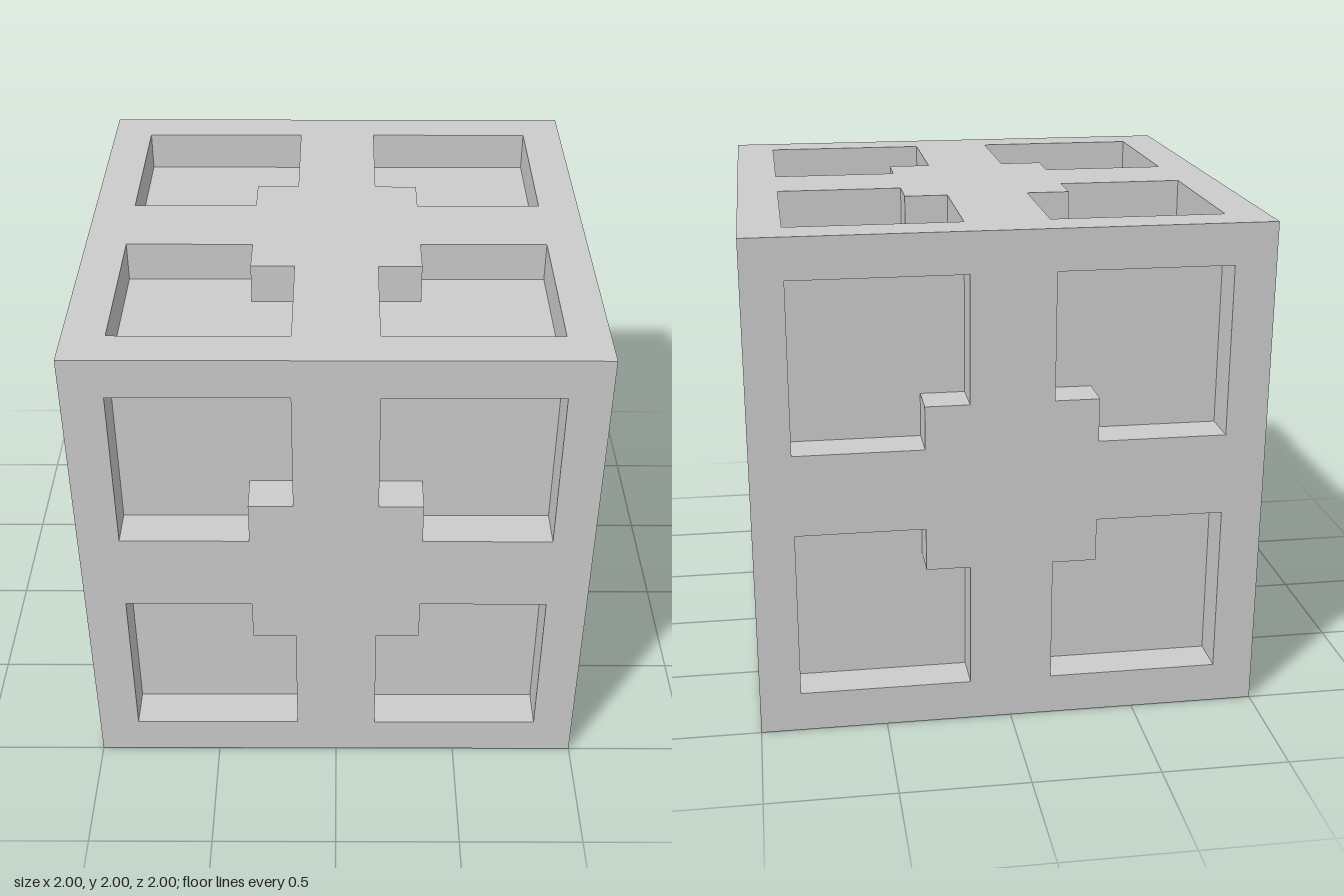
import * as THREE from 'three';
import { mergeGeometries } from 'three/addons/utils/BufferGeometryUtils.js';

const HALF = 1;       // half the cube's edge
const DEPTH = 0.16;   // pocket depth
const NEAR = 0.163, NOTCH = 0.335, FAR = 0.838;

// Square pocket outline with the corner nearest the face centre notched out,
// mirrored into one quadrant and kept anticlockwise
function pocketOutline(sx, sy) {
  const points = [
    [NOTCH, NEAR], [FAR, NEAR], [FAR, FAR], [NEAR, FAR], [NEAR, NOTCH], [NOTCH, NOTCH],
  ].map(([x, y]) => new THREE.Vector2(x * sx, y * sy));
  return sx * sy < 0 ? points.reverse() : points;
}

// Inward-facing walls of a pocket
function pocketWalls(outline) {
  const positions = [];
  outline.forEach((a, i) => {
    const b = outline[(i + 1) % outline.length];
    const top = HALF, low = HALF - DEPTH;
    positions.push(
      a.x, a.y, top, b.x, b.y, top, b.x, b.y, low,
      a.x, a.y, top, b.x, b.y, low, a.x, a.y, low);
  });
  const geometry = new THREE.BufferGeometry();
  geometry.setAttribute('position', new THREE.Float32BufferAttribute(positions, 3));
  geometry.computeVertexNormals();
  return geometry;
}

function flatSheet(shape, z) {
  const geometry = new THREE.ShapeGeometry(shape).toNonIndexed().translate(0, 0, z);
  geometry.deleteAttribute('uv');
  return geometry;
}

// One cube face, looking along +z, with four recessed pockets
function pocketedFace() {
  const sheet = new THREE.Shape([
    new THREE.Vector2(-HALF, -HALF), new THREE.Vector2(HALF, -HALF),
    new THREE.Vector2(HALF, HALF), new THREE.Vector2(-HALF, HALF),
  ]);
  const parts = [];
  for (const sx of [-1, 1]) {
    for (const sy of [-1, 1]) {
      const outline = pocketOutline(sx, sy);
      sheet.holes.push(new THREE.Path(outline));
      parts.push(pocketWalls(outline), flatSheet(new THREE.Shape(outline), HALF - DEPTH));
    }
  }
  parts.push(flatSheet(sheet, HALF));
  return mergeGeometries(parts);
}

export function createModel() {
  const model = new THREE.Group();
  model.name = 'notchedCube';
  const material = new THREE.MeshStandardMaterial({ color: 0xcccccc, flatShading: true });

  const addFace = (name, geometry, rx, ry) => {
    const mesh = new THREE.Mesh(geometry, material);
    mesh.name = name;
    mesh.rotation.set(rx, ry, 0);
    mesh.position.y = HALF;
    model.add(mesh);
  };

  // Four sides and the top share the pocketed face
  const face = pocketedFace();
  ['frontFace', 'leftFace', 'backFace', 'rightFace'].forEach((name, i) =>
    addFace(name, face, 0, i * Math.PI / 2));
  addFace('topFace', face, -Math.PI / 2, 0);

  // Plain underside
  const base = new THREE.PlaneGeometry(2 * HALF, 2 * HALF).translate(0, 0, HALF);
  addFace('bottomFace', base, Math.PI / 2, 0);

  return model;
}
